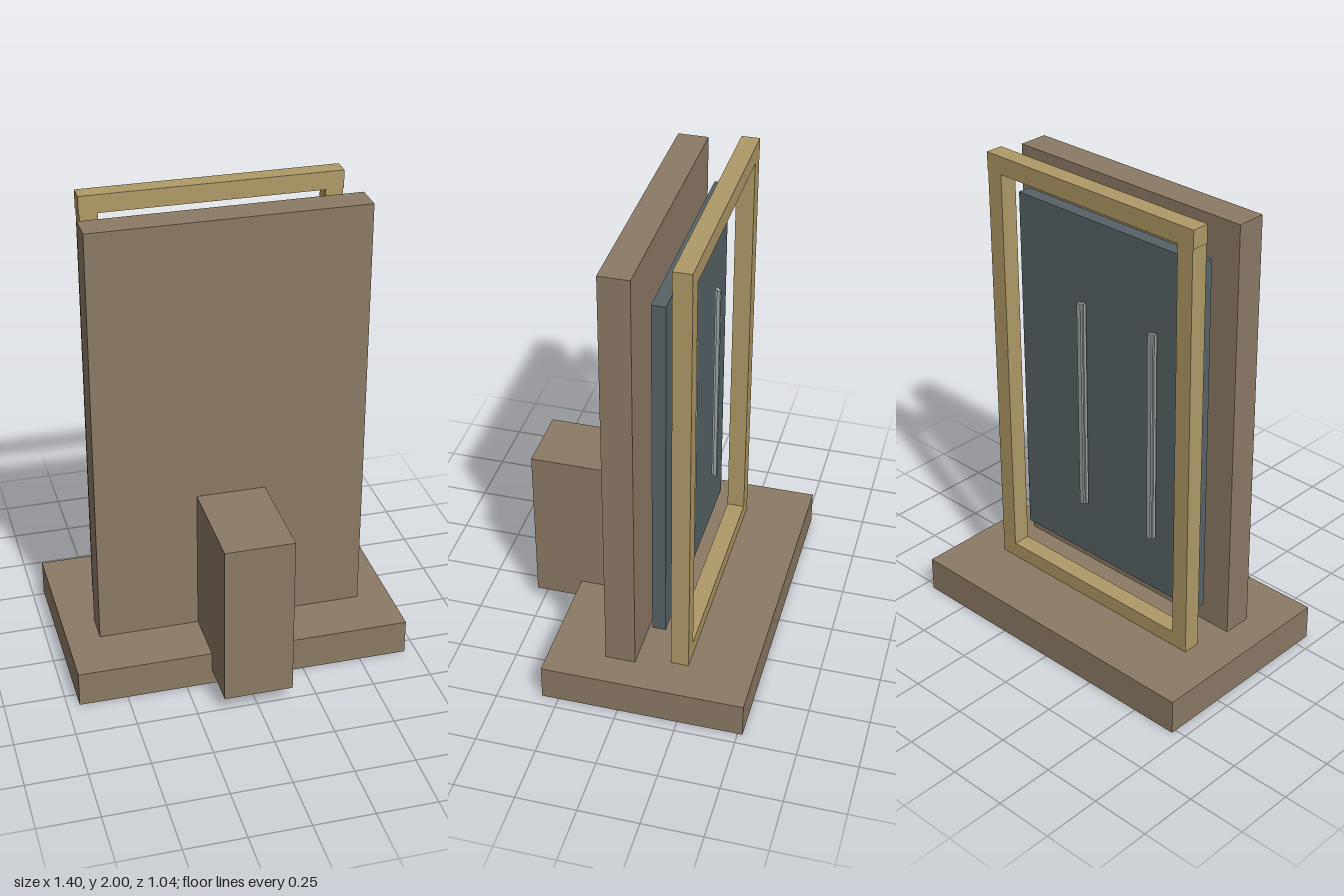
import * as THREE from 'three';

const material = (name, color) => {
  const m = new THREE.MeshStandardMaterial({ color });
  m.name = name;
  return m;
};

export function createModel() {
  const stone = material('brown stone', 0x8b7a66);
  const brass = material('brass', 0xae9a66);
  const slate = material('slate blue', 0x576266);
  const steel = material('pale steel', 0x9ca2a4);

  const model = new THREE.Group();
  model.name = 'framedDoorStand';

  // Box given by its low and high limits on each axis
  const box = (name, mat, [x0, x1], [y0, y1], [z0, z1], parent = model) => {
    const mesh = new THREE.Mesh(new THREE.BoxGeometry(x1 - x0, y1 - y0, z1 - z0), mat);
    mesh.position.set((x0 + x1) / 2, (y0 + y1) / 2, (z0 + z1) / 2);
    mesh.name = name;
    parent.add(mesh);
  };

  // Plinth, upright wall and front block
  box('base', stone, [-0.7, 0.7], [0, 0.15], [-0.52, 0.32]);
  box('wall', stone, [-0.563, 0.563], [0.15, 1.96], [-0.037, 0.087]);
  box('frontBlock', stone, [-0.143, 0.143], [0.067, 0.767], [0.087, 0.52]);

  // Floating door panel
  box('doorPanel', slate, [-0.475, 0.475], [0.273, 1.815], [-0.142, -0.086]);

  // Frame of four bars, the posts slightly inset under the top bar
  const frame = new THREE.Group();
  frame.name = 'frame';
  model.add(frame);
  const depth = [-0.252, -0.178];
  box('topBar', brass, [-0.53, 0.53], [1.925, 2], depth, frame);
  box('bottomBar', brass, [-0.455, 0.455], [0.15, 0.215], depth, frame);
  box('leftPost', brass, [0.455, 0.527], [0.15, 1.925], depth, frame);
  box('rightPost', brass, [-0.527, -0.455], [0.15, 1.925], depth, frame);

  // Slim pull handles with a stepped cross-section, standing upright
  const profile = new THREE.Shape(
    [[-0.014, 0.15], [-0.014, 0.164], [-0.006, 0.164], [-0.006, 0.173],
      [0.014, 0.173], [0.014, 0.159], [0.004, 0.159], [0.004, 0.15]]
      .map(([x, y]) => new THREE.Vector2(x, y)));
  const handleGeometry = new THREE.ExtrudeGeometry(profile, { depth: 0.927, bevelEnabled: false });
  handleGeometry.rotateX(-Math.PI / 2);
  for (const [name, x] of [['rightHandle', -0.253], ['leftHandle', 0.122]]) {
    const handle = new THREE.Mesh(handleGeometry, steel);
    handle.position.set(x, 0.53, 0);
    handle.name = name;
    model.add(handle);
  }
  return model;
}
